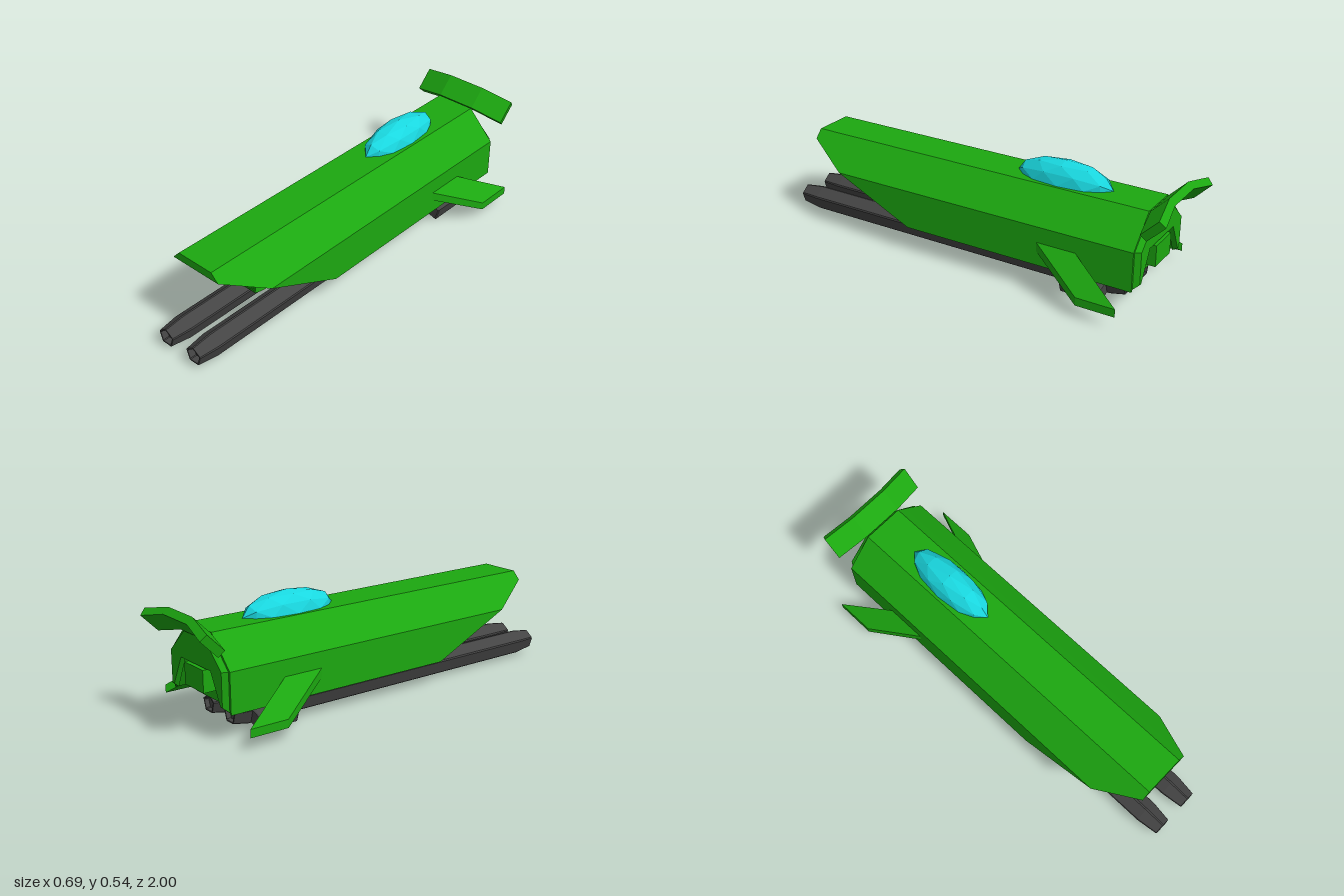
import * as THREE from 'three';
import { ConvexGeometry } from 'three/addons/geometries/ConvexGeometry.js';

const paint = (color) => new THREE.MeshStandardMaterial({ color, flatShading: true, side: THREE.DoubleSide });
const green = paint(0x1ca810), darkGrey = paint(0x444444), glass = paint(0x19d8e0);

// Skin a list of rings (front to back, corners counter-clockwise from +z), capped at both ends
function loft(rings) {
  const pos = [], n = rings[0].length;
  const tri = (...p) => p.forEach((v) => pos.push(...v));
  for (let r = 0; r < rings.length - 1; r++) {
    const a = rings[r], b = rings[r + 1];
    for (let i = 0; i < n; i++) {
      const j = (i + 1) % n;
      tri(a[i], b[i], b[j]);
      tri(a[i], b[j], a[j]);
    }
  }
  const f = rings[0], l = rings[rings.length - 1];
  for (let i = 1; i < n - 1; i++) {
    tri(f[0], f[i], f[i + 1]);
    tri(l[0], l[i + 1], l[i]);
  }
  const g = new THREE.BufferGeometry();
  g.setAttribute('position', new THREE.Float32BufferAttribute(pos, 3));
  g.computeVertexNormals();
  return g;
}

// Symmetric closed outline from its +x half
const mirrorHalf = (half) => [...half, ...half.slice().reverse().map(([x, y]) => [-x, y])];

// Extrude an outline from z = 0 to 1, then move each vertex by a rule
function shaped(half, rule) {
  const shape = new THREE.Shape(mirrorHalf(half).map(([x, y]) => new THREE.Vector2(x, y)));
  const g = new THREE.ExtrudeGeometry(shape, { depth: 1, bevelEnabled: false });
  const p = g.attributes.position;
  for (let i = 0; i < p.count; i++) p.setXYZ(i, ...rule(p.getX(i), p.getY(i), p.getZ(i)));
  g.computeVertexNormals();
  return g;
}

// Pentagon with slightly cut corners
function pentagon(r, z) {
  const corner = (k) => {
    const a = Math.PI / 2 + (k * Math.PI * 2) / 5;
    return [Math.cos(a) * r, Math.sin(a) * r];
  };
  const pts = [];
  for (let k = 0; k < 5; k++) {
    for (const d of [-1, 1]) {
      const c = corner(k), e = corner(k + d);
      pts.push([c[0] + (e[0] - c[0]) * 0.07, c[1] + (e[1] - c[1]) * 0.07, z]);
    }
  }
  return pts;
}

export function createModel() {
  const model = new THREE.Group();
  const add = (name, geo, mat, x = 0, y = 0, z = 0, parent = model) => {
    const m = new THREE.Mesh(geo, mat);
    m.name = name;
    m.position.set(x, y, z);
    parent.add(m);
    return m;
  };
  const box = (name, w, h, d, x, y, z, mat = green, parent = model) =>
    add(name, new THREE.BoxGeometry(w, h, d), mat, x, y, z, parent);
  const hullPoints = (pts) => new ConvexGeometry(pts.map((p) => new THREE.Vector3(...p)));

  // Hull: flat deck over an arched shell, its front cut back at a slant
  const cut = (x, y, z) => [x, y, z > 0.5 ? Math.min(0.88, 0.88 - (0.408 - y) * 2.12) : -0.86];
  const arch = [[0.135, 0.408], [0.23, 0.31], [0.23, 0.125], [0.224, 0.125], [0.13, 0.3]];
  add('hullDeck', shaped([[0.097, 0.447], [0.135, 0.408]], cut), green);
  add('hullShell', shaped(arch, cut), green);

  // Rear frame, narrowing backwards
  const rear = [[0.09, 0.44], [0.222, 0.308], [0.222, 0.13], [0.205, 0.13], [0.13, 0.29]];
  add('rearFrame', shaped(rear, (x, y, z) => (z > 0.5 ? [x, y, -0.855] : [x * 0.92, 0.3 + (y - 0.3) * 0.85, -0.885])), green);

  // Inner body with a tapered nose
  const ring = (z, bx, by, mx, my, tx, ty) =>
    [[-bx, by, z], [bx, by, z], [mx, my, z], [tx, ty, z], [-tx, ty, z], [-mx, my, z]];
  add('innerBody', loft([
    ring(0.615, 0.073, 0.165, 0.073, 0.208, 0.087, 0.272),
    ring(0.58, 0.08, 0.164, 0.08, 0.208, 0.096, 0.277),
    ring(-0.2, 0.095, 0.137, 0.095, 0.185, 0.13, 0.302),
    ring(-0.83, 0.095, 0.137, 0.095, 0.185, 0.13, 0.302),
  ]), green);
  box('keel', 0.126, 0.05, 0.95, 0, 0.125, -0.275);
  box('rearBlock', 0.15, 0.1, 0.12, 0, 0.235, -0.835);

  // Nose: window frame with a recessed panel, and a slotted grille below
  const frame = new THREE.Shape([[-0.073, 0.217], [0.073, 0.217], [0.088, 0.273], [-0.088, 0.273]].map((p) => new THREE.Vector2(...p)));
  frame.holes.push(new THREE.Path([[-0.068, 0.221], [-0.08, 0.267], [0.08, 0.267], [0.068, 0.221]].map((p) => new THREE.Vector2(...p))));
  add('noseFrame', new THREE.ExtrudeGeometry(frame, { depth: 0.03, bevelEnabled: false }), green, 0, 0, 0.602);
  for (let i = 0; i < 5; i++) box('grilleBar', 0.144, 0.005, 0.012, 0, 0.17 + i * 0.0088, 0.618);
  for (let i = 0; i < 5; i++) box('grillePost', 0.005, 0.04, 0.01, -0.0715 + i * 0.0357, 0.188, 0.618);

  // Canopy
  const dome = new THREE.IcosahedronGeometry(1, 1);
  dome.scale(0.086, 0.094, 0.236);
  add('canopy', dome, glass, 0, 0.447, -0.415);

  // Spoiler: level centre and two drooping, swept ends
  const profile = [[0.447, -0.865], [0.527, -0.945], [0.5, -0.972], [0.42, -0.892]];
  const inner = (x) => profile.map(([y, z]) => [x, y, z]);
  const outer = (x) => profile.map(([y, z], i) => [x * (i > 1 ? 0.96 : 1), y - 0.033, z - 0.028]);
  add('spoilerCentre', hullPoints([...inner(-0.097), ...inner(0.097)]), green);

  for (const s of [-1, 1]) {
    const side = s > 0 ? 'left' : 'right';
    add(side + 'SpoilerEnd', hullPoints([...inner(s * 0.097), ...outer(s * 0.255)]), green);

    // Swept, drooping fin
    const fin = [];
    for (const [x, y, h, z0, z1] of [[0.226, 0.24, 0.042, -0.395, -0.585], [0.347, 0.098, 0.038, -0.66, -0.845]]) {
      for (const z of [z0, z1]) fin.push([s * x, y, z], [s * x, y - h, z]);
    }
    add(side + 'Fin', hullPoints(fin), green);

    // Long five-sided tube, hollowed at both ends, with a pod on its outer rear flank
    const tube = new THREE.Group();
    tube.name = side + 'Tube';
    tube.position.set(s * 0.085, 0.07, 0);
    model.add(tube);
    const steps = [[0.035, 0.97], [0.038, 1], [0.046, 1], [0.06, 0.9], [0.06, -0.71], [0.046, -0.78], [0.038, -0.78], [0.035, -0.76]];
    add('tubeBody', loft(steps.map(([r, z]) => pentagon(r, z))), darkGrey, 0, 0, 0, tube);
    const podRing = (k, z) => [[-k, -k, z], [k, -k, z], [k, k, z], [-k, k, z]];
    const pod = add('pod', loft([podRing(0.03, -0.5), podRing(0.034, -0.506), podRing(0.034, -0.694), podRing(0.03, -0.7)]),
      darkGrey, s * 0.075, -0.024, 0, tube);
    pod.rotation.z = -s * 0.314;
  }
  return model;
}
